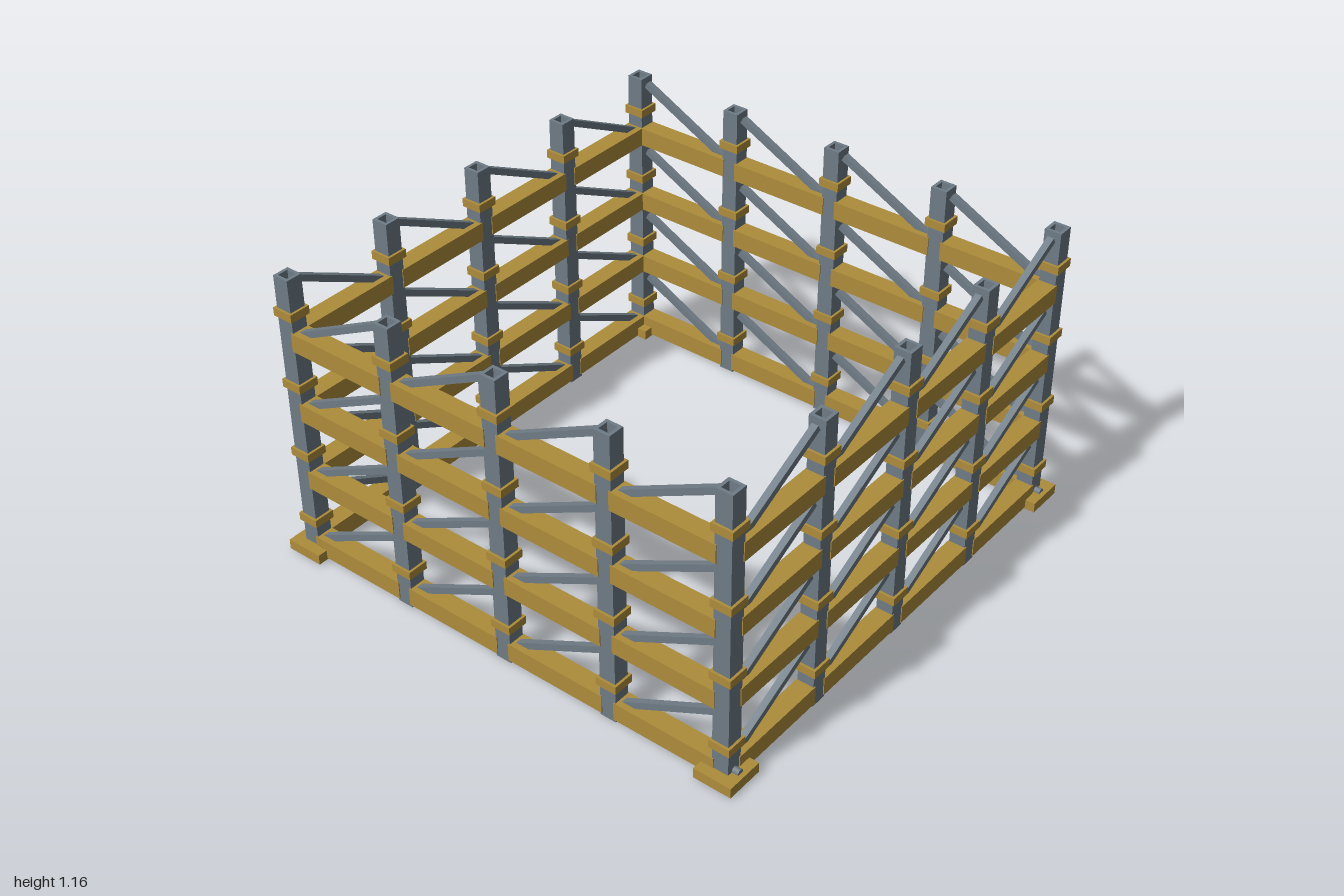
import * as THREE from 'three';

const EDGE = 0.925;          // post line, distance from the centre
const BAY = EDGE / 2;        // post spacing
const LEVELS = [0, 1, 2, 3].map(i => 0.048 + i * 0.291);

// Upright square tube standing on y = 0
function squareTube(outer, inner, height) {
  const square = (path, s) => {
    path.moveTo(-s, -s);
    path.lineTo(s, -s);
    path.lineTo(s, s);
    path.lineTo(-s, s);
    path.closePath();
    return path;
  };
  const shape = square(new THREE.Shape(), outer / 2);
  shape.holes.push(square(new THREE.Path(), inner / 2));
  const g = new THREE.ExtrudeGeometry(shape, { depth: height, bevelEnabled: false });
  return g.rotateX(-Math.PI / 2);
}

export function createModel() {
  const steel = new THREE.MeshStandardMaterial({ color: 0x6f7c86 });
  steel.name = 'steel grey';
  const ochre = new THREE.MeshStandardMaterial({ color: 0xae8d3c });
  ochre.name = 'ochre';

  const postGeo = squareTube(0.065, 0.041, 1.165);
  const collarGeo = squareTube(0.084, 0.06, 0.032);
  const beamGeo = new THREE.BoxGeometry(BAY - 0.05, 0.073, 0.072);
  const braceGeo = new THREE.BoxGeometry(0.432, 0.025, 0.025);
  const plateGeo = new THREE.BoxGeometry(0.15, 0.04, 0.15);
  const boltGeo = new THREE.CylinderGeometry(0.014, 0.014, 0.035, 12).rotateZ(Math.PI / 2);

  const add = (parent, name, geo, mat, x, y, z) => {
    const m = new THREE.Mesh(geo, mat);
    m.name = name;
    m.position.set(x, y, z);
    parent.add(m);
    return m;
  };

  const model = new THREE.Group();
  model.name = 'frame';

  // Four equal walls, each turned a quarter about the centre
  for (let side = 0; side < 4; side++) {
    const wall = new THREE.Group();
    wall.name = 'wall';
    wall.rotation.y = side * Math.PI / 2;
    model.add(wall);

    // Each wall owns its left corner post and the three inner posts
    for (let i = 0; i < 4; i++) {
      const x = -EDGE + i * BAY;
      add(wall, 'post', postGeo, steel, x, 0, EDGE);
      for (const y of LEVELS) {
        add(wall, 'collar', collarGeo, ochre, x, y + 0.086, EDGE);
        add(wall, 'beam', beamGeo, ochre, x + BAY / 2, y, EDGE);
        // One diagonal per bay, rising to the right as seen from outside
        add(wall, 'brace', braceGeo, steel, x + BAY / 2, y + 0.118, EDGE).rotation.z = 0.47;
      }
    }

    // Foot under the corner post
    add(wall, 'basePlate', plateGeo, ochre, -EDGE, 0.025, EDGE);
  }

  // Small bolts on the outer faces of the corner posts
  for (const sx of [-1, 1]) {
    for (const sz of [-1, 1]) {
      add(model, 'bolt', boltGeo, steel, sx * 0.965, 0.047, sz * EDGE);
    }
  }
  return model;
}
